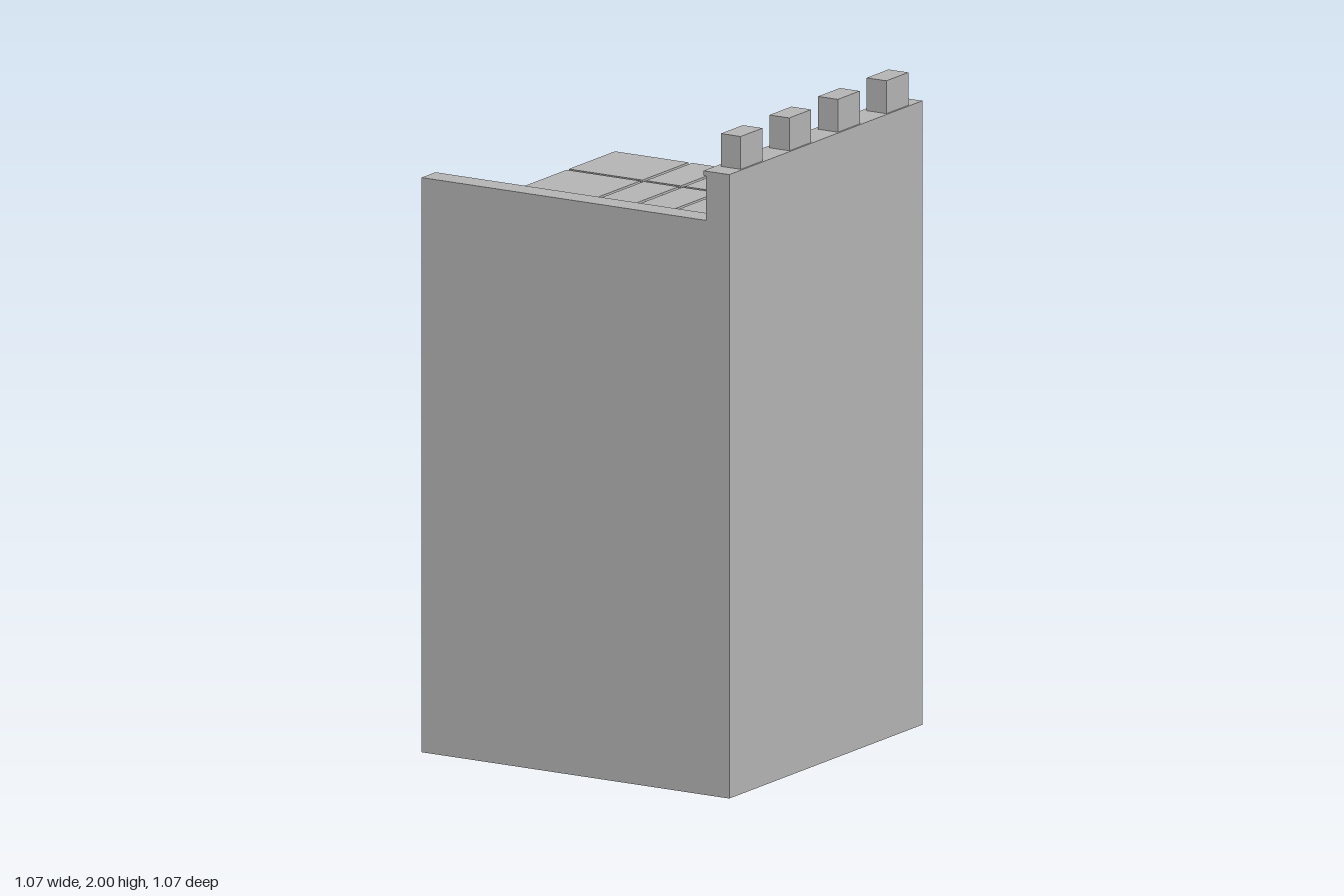
import * as THREE from 'three';

export function createModel() {
  const model = new THREE.Group();
  model.name = 'castleCorner';
  const stone = new THREE.MeshStandardMaterial({ color: 0xb4b4b4, side: THREE.DoubleSide });
  stone.name = 'stone';
  const HALF = 0.537, DECK = 1.6;

  const add = (name, geometry, parent = model) => {
    const mesh = new THREE.Mesh(geometry, stone);
    mesh.name = name;
    parent.add(mesh);
    return mesh;
  };
  // Box given by its limits on each axis
  const block = (name, [x0, x1], [y0, y1], [z0, z1], parent) =>
    add(name, new THREE.BoxGeometry(x1 - x0, y1 - y0, z1 - z0)
      .translate((x0 + x1) / 2, (y0 + y1) / 2, (z0 + z1) / 2), parent);

  // Thin outer walls under the deck, open at the back and on the right
  add('frontWall', new THREE.PlaneGeometry(HALF * 2, DECK).translate(0, DECK / 2, HALF));
  add('leftWall', new THREE.PlaneGeometry(HALF * 2, DECK).rotateY(Math.PI / 2).translate(HALF, DECK / 2, 0));
  add('deck', new THREE.PlaneGeometry(HALF * 2, HALF * 2).rotateX(-Math.PI / 2).translate(0, DECK, 0));

  // Paving: a 4 x 4 grid with some slabs halved along x or z
  const paving = new THREE.Group();
  paving.name = 'paving';
  model.add(paving);
  const halved = { '1,0': 'x', '1,1': 'x', '3,2': 'x', '0,3': 'z', '2,3': 'z' };
  const slab = (x, z, w, d) =>
    block('slab', [x - w / 2, x + w / 2], [DECK, DECK + 0.006], [z - d / 2, z + d / 2], paving);
  const step = 0.269, size = 0.257, half = 0.122, shift = 0.0675;
  for (let i = 0; i < 4; i++) {
    for (let j = 0; j < 4; j++) {
      const x = (i - 1.5) * step - 0.002, z = (j - 1.5) * step - 0.002;
      const cut = halved[`${i},${j}`];
      if (!cut) slab(x, z, size, size);
      else for (const s of [-1, 1]) {
        if (cut === 'x') slab(x + s * shift, z, half, size);
        else slab(x, z + s * shift, size, half);
      }
    }
  }

  // Low front parapet and tall side parapet, each with a slim coping
  block('frontParapet', [-HALF, 0.455], [DECK, 1.735], [0.469, HALF]);
  block('frontCoping', [-HALF, 0.455], [1.735, 1.75], [0.46, HALF]);
  block('leftParapet', [0.455, HALF], [DECK, 1.885], [-HALF, HALF]);
  block('leftCoping', [0.447, HALF], [1.885, 1.9], [-HALF, HALF]);

  // Merlons
  for (let i = 0; i < 4; i++) {
    const z = (i - 1.5) * 0.27 - 0.002;
    block('merlon', [0.462, 0.531], [1.9, 2], [z - 0.061, z + 0.061]);
  }

  // Wall torch: bracket, handle, cup and faceted flame
  const torch = new THREE.Group();
  torch.name = 'torch';
  torch.position.set(0.418, 0, 0.212);
  model.add(torch);
  block('bracket', [0, 0.037], [1.785, 1.81], [-0.012, 0.012], torch);
  add('handle', new THREE.CylinderGeometry(0.014, 0.008, 0.035, 6).translate(0, 1.795, 0), torch);
  add('cup', new THREE.CylinderGeometry(0.025, 0.02, 0.02, 6).translate(0, 1.82, 0), torch);
  add('flame', new THREE.ConeGeometry(0.022, 0.075, 5).toNonIndexed().translate(0, 1.8645, 0), torch)
    .geometry.computeVertexNormals();

  return model;
}
